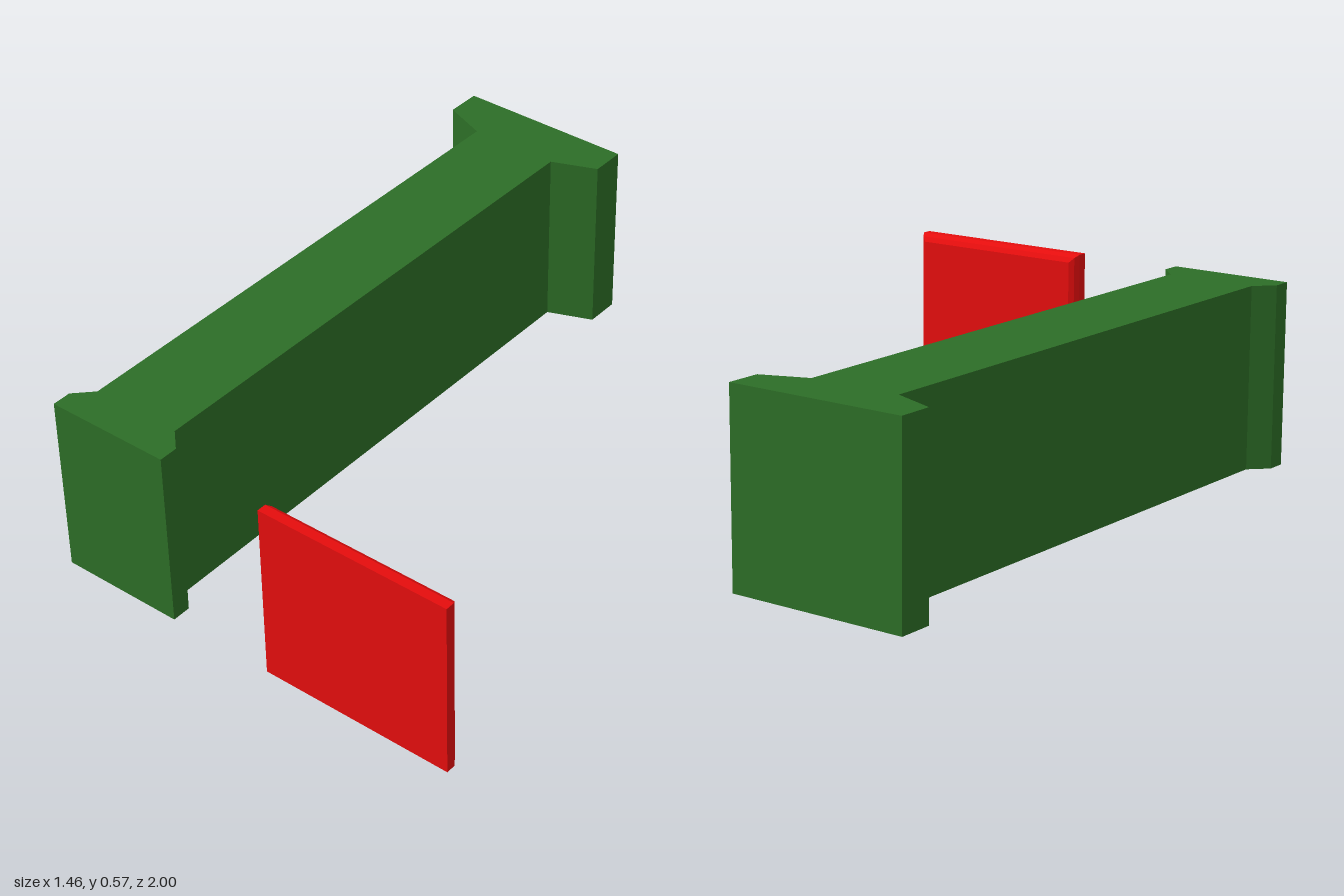
import * as THREE from 'three';

const GREEN = 0x2d6e27, RED = 0xe50d0d, BLACK = 0x111111, GREY = 0xcccccc;
const HEIGHT = 0.575, CENTRE_X = -0.445, RECESS = 0.05;
const SLOT = { halfWidth: 0.09, front: 0.845, back: -0.85 };

function part(name, geometry, color) {
  const mesh = new THREE.Mesh(geometry, new THREE.MeshStandardMaterial({ color }));
  mesh.name = name;
  return mesh;
}

// Plan outline of the beam, mirrored about its own centre line: [half width, z]
function beamOutline() {
  const half = [[0.2, 1], [0.2, 0.94], [0.145, 0.885], [0.145, -0.835], [0.285, -0.89], [0.285, -1]];
  const points = [...half, ...half.slice().reverse().map(([x, z]) => [-x, z])];
  return new THREE.Shape(points.map(([x, z]) => new THREE.Vector2(x, -z)));
}

function extrudeUp(shape, y0, y1) {
  const geometry = new THREE.ExtrudeGeometry(shape, { depth: y1 - y0, bevelEnabled: false });
  return geometry.rotateX(-Math.PI / 2).translate(CENTRE_X, y0, 0);
}

// Flat plate with its four rear edges eased over
function plateGeometry(width, height, depth) {
  const layers = [[0, 0.025], [0.01, 0.01], [0.025, 0], [depth, 0]]; // [z, inset]
  const box = new THREE.BoxGeometry(width, height, depth, 1, 1, 3);
  const pos = box.attributes.position;
  for (let i = 0; i < pos.count; i++) {
    const [z, inset] = layers[Math.round((pos.getZ(i) / depth + 0.5) * 3)];
    const x = pos.getX(i), y = pos.getY(i);
    pos.setXYZ(i, x - Math.sign(x) * inset, y - Math.sign(y) * inset, z);
  }
  const flat = box.toNonIndexed();
  flat.computeVertexNormals();
  return flat;
}

export function createModel() {
  const model = new THREE.Group();
  model.name = 'flangedBeamAndPlate';

  // Beam: solid upper body over a lower layer cut by the long slot
  const beam = new THREE.Group();
  beam.name = 'beam';
  const lower = beamOutline();
  const { halfWidth: w, front, back } = SLOT;
  lower.holes.push(new THREE.Path([[-w, -front], [-w, -back], [w, -back], [w, -front]]
    .map(([x, y]) => new THREE.Vector2(x, y))));
  beam.add(part('beamBody', extrudeUp(beamOutline(), RECESS, HEIGHT), GREEN));
  beam.add(part('slottedUnderside', extrudeUp(lower, 0, RECESS), GREEN));

  // Dark lining and roller inside the slot
  const length = front - back, midZ = (front + back) / 2;
  const lining = part('slotLining', new THREE.BoxGeometry(w * 2, 0.01, length), BLACK);
  lining.position.set(CENTRE_X, RECESS - 0.005, midZ);
  const roller = part('roller', new THREE.CylinderGeometry(0.038, 0.038, length - 0.06, 32), GREY);
  roller.rotation.x = Math.PI / 2;
  roller.position.set(CENTRE_X, 0.045, midZ);
  beam.add(lining, roller);

  // Separate upright plate
  const plate = part('plate', plateGeometry(0.63, HEIGHT, 0.055), RED);
  plate.position.set(0.415, HEIGHT / 2, 0.945);

  model.add(beam, plate);
  return model;
}
